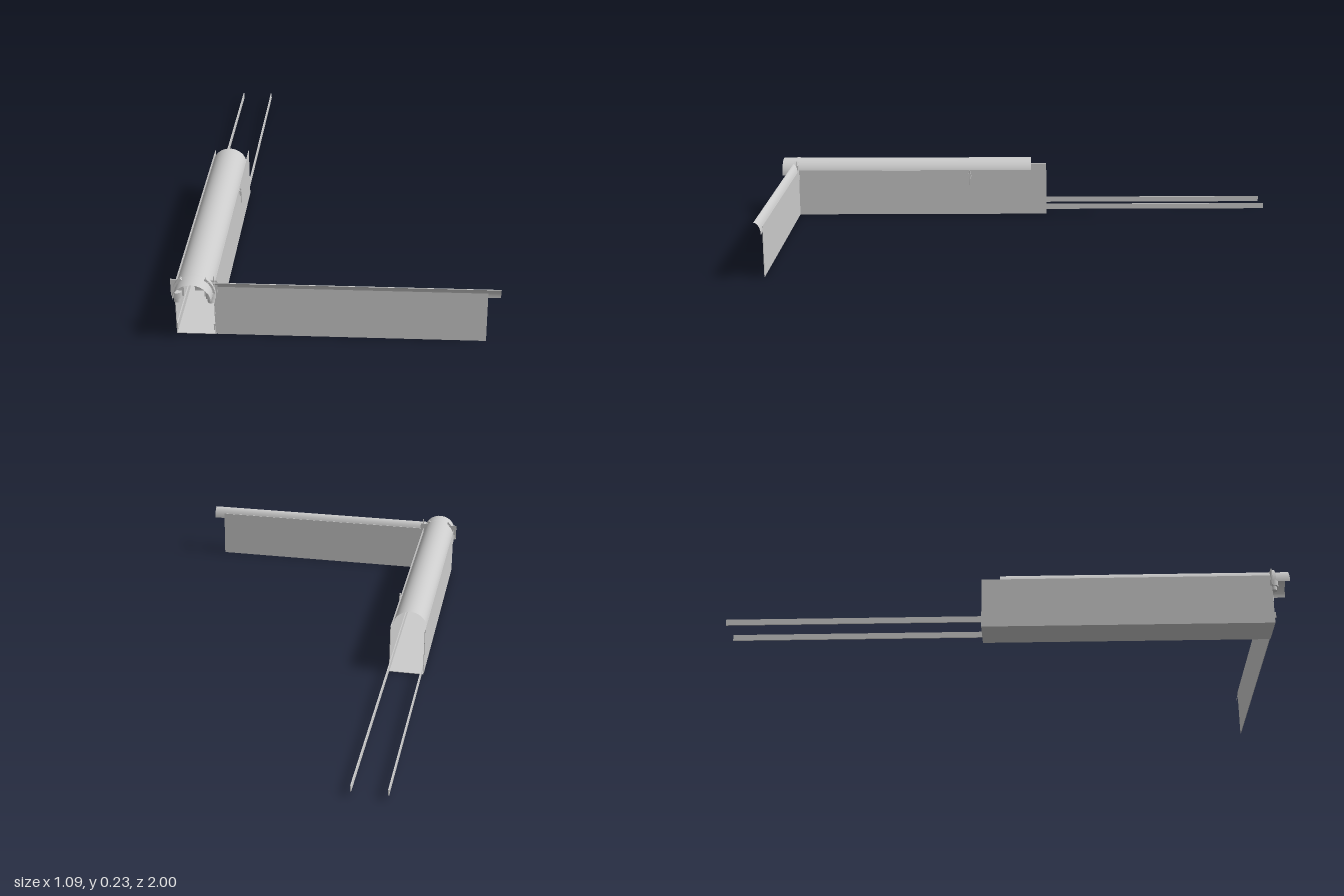
import * as THREE from 'three';

const mat = new THREE.MeshStandardMaterial({ color: 0xcccccc, side: THREE.DoubleSide });
const CX = -0.467;   // centre line of the channel
const HALF = 0.065;  // half width of the channel
const CLAMP_Z = 0.94;

function add(parent, name, geometry, x = 0, y = 0, z = 0) {
  const mesh = new THREE.Mesh(geometry, mat);
  mesh.name = name;
  mesh.position.set(x, y, z);
  parent.add(mesh);
  return mesh;
}

const box = (w, h, d) => new THREE.BoxGeometry(w, h, d);

// Thin curved sheet running along z; angles measured from +x towards +y
function archSheet(rx, ry, a0, a1, length) {
  const g = new THREE.PlaneGeometry(1, length, 24, 1);
  const p = g.attributes.position;
  for (let i = 0; i < p.count; i++) {
    const a = a0 + (p.getX(i) + 0.5) * (a1 - a0);
    p.setXYZ(i, Math.cos(a) * rx, Math.sin(a) * ry, p.getY(i));
  }
  g.computeVertexNormals();
  return g;
}

// Clamp: plate, curved jaw, hex nut and stud on one side of the cover
function clamp(side) {
  const g = new THREE.Group();
  g.name = side > 0 ? 'leftClamp' : 'rightClamp';
  const x = CX + side * 0.056;
  add(g, 'clampPlate', box(0.044, 0.062, 0.004), x, 0.178, CLAMP_Z - 0.006);
  add(g, 'clampNut', new THREE.CylinderGeometry(0.018, 0.018, 0.022, 6), x, 0.157, CLAMP_Z);
  add(g, 'clampStud', new THREE.CylinderGeometry(0.012, 0.012, 0.016, 10), x, 0.138, CLAMP_Z);
  const jaw = new THREE.Shape();
  const a0 = side > 0 ? 0 : Math.PI * 0.7;
  const a1 = a0 + Math.PI * 0.3;
  jaw.absarc(0, 0, 0.071, a0, a1, false);
  jaw.absarc(0, 0, 0.061, a1, a0, true);
  jaw.closePath();
  const jawGeo = new THREE.ExtrudeGeometry(jaw, { depth: 0.014, bevelEnabled: false, curveSegments: 10 });
  add(g, 'clampJaw', jawGeo, CX, 0.164, CLAMP_Z - 0.004);
  return g;
}

export function createModel() {
  const model = new THREE.Group();
  model.name = 'coveredChannel';

  // Open channel: floor and two upright walls
  const zBack = -0.095, zFront = 0.935;
  const len = zFront - zBack, zMid = (zFront + zBack) / 2;
  add(model, 'channelFloor', box(HALF * 2, 0.002, len), CX, 0.001, zMid);
  for (const s of [-1, 1]) {
    const side = s > 0 ? 'left' : 'right';
    add(model, side + 'Wall', box(0.002, 0.187, len), CX + s * HALF, 0.0935, zMid);
    // Long rail inside the wall, extending out of the back
    add(model, side + 'Rail', box(0.004, 0.022, 1.94), CX + s * (HALF - 0.003), 0.031, -0.03);
    model.add(clamp(s));
  }

  // Half-round cover over the channel and the strap around it
  add(model, 'channelCover', archSheet(0.064, 0.061, 0, Math.PI, 1.03), CX, 0.165, 0.485);
  add(model, 'clampStrap', archSheet(0.066, 0.063, 0, Math.PI, 0.014), CX, 0.165, CLAMP_Z);

  // Side wing: upright panel with a quarter-round cap, hollow to the front
  add(model, 'wingPanel', box(0.902, 0.187, 0.002), 0.048, 0.0935, 0.932);
  const cap = add(model, 'wingCap', archSheet(0.025, 0.044, Math.PI / 2, Math.PI, 1.006), 0.038, 0.166, 0.956);
  cap.rotation.y = -Math.PI / 2;

  // Upright pin by the left clamp and a small hook on the left wall
  add(model, 'clampPin', new THREE.CylinderGeometry(0.002, 0.002, 0.04, 8), -0.4, 0.207, CLAMP_Z);
  const hook = new THREE.Group();
  hook.name = 'wallHook';
  add(hook, 'hookPin', new THREE.CylinderGeometry(0.003, 0.001, 0.06, 8), 0, 0.155, 0);
  add(hook, 'hookHead', box(0.012, 0.014, 0.012), -0.003, 0.168, 0);
  hook.position.set(-0.395, 0, 0.224);
  model.add(hook);

  return model;
}
